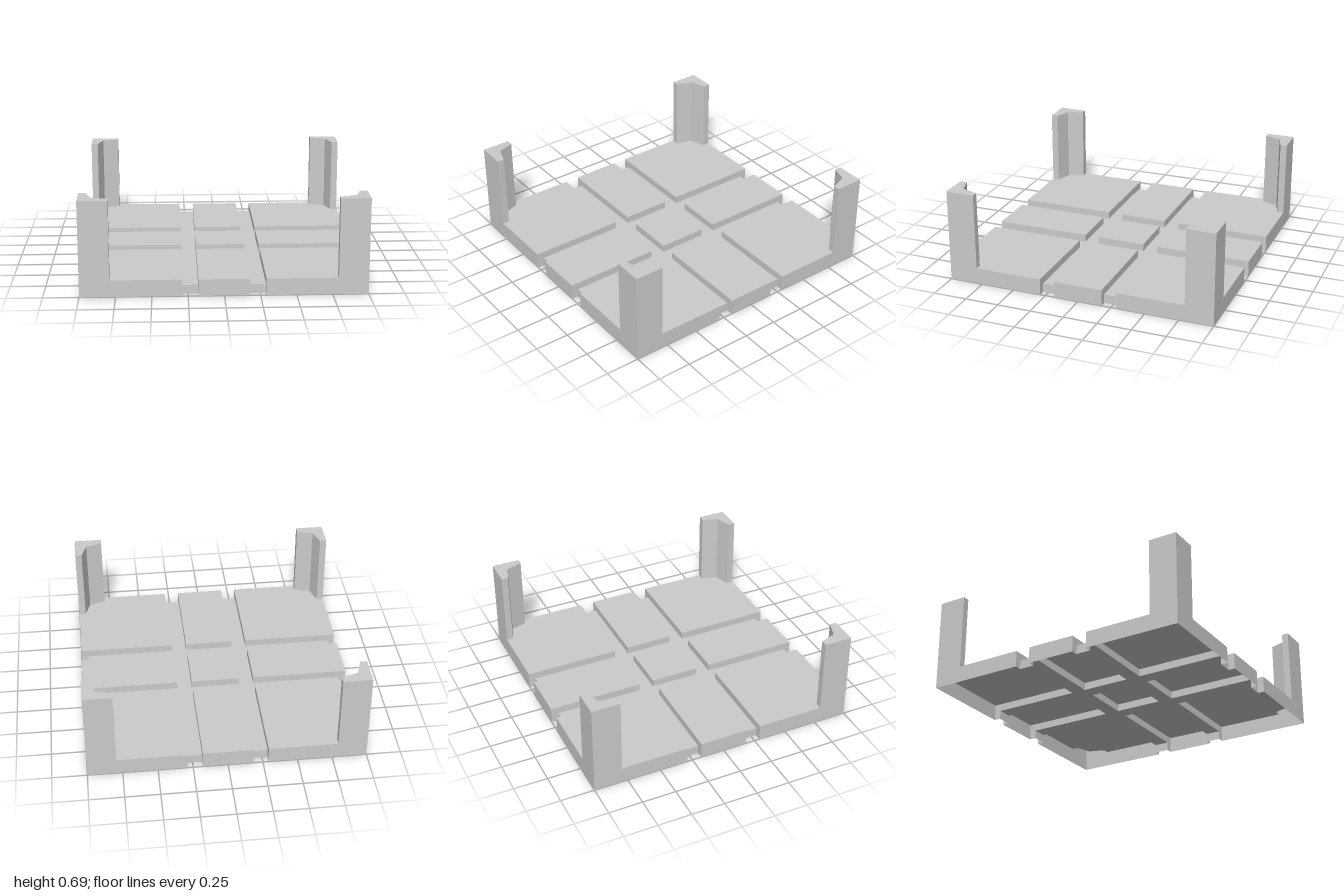
import * as THREE from 'three';
import { mergeGeometries } from 'three/addons/utils/BufferGeometryUtils.js';

const material = new THREE.MeshStandardMaterial({
  color: 0xcccccc, flatShading: true, side: THREE.DoubleSide,
});

// Plan distances from the centre, and heights
const A = 0.18, B = 0.29, E = 0.95, R = 1;      // groove sides, groove end, rim
const FLOOR = 0.065, TOP = 0.12, POST = 0.685;

// Flat plate facing up, outlined by [x, z] points
function plate(points, y) {
  const shape = new THREE.Shape(points.map(([x, z]) => new THREE.Vector2(x, -z)));
  return new THREE.ShapeGeometry(shape).rotateX(-Math.PI / 2).translate(0, y, 0);
}

const rect = (x0, x1, z0, z1) => [[x0, z1], [x1, z1], [x1, z0], [x0, z0]];

// Upright walls along an [x, z] path, counter-clockwise from above
function wall(path, y0, y1) {
  const panels = [];
  for (let i = 0; i + 1 < path.length; i++) {
    const [ax, az] = path[i], [bx, bz] = path[i + 1];
    panels.push(new THREE.PlaneGeometry(Math.hypot(bx - ax, bz - az), y1 - y0)
      .rotateY(Math.atan2(az - bz, bx - ax))
      .translate((ax + bx) / 2, (y0 + y1) / 2, (az + bz) / 2));
  }
  return mergeGeometries(panels);
}

function part(name, geometries) {
  const mesh = new THREE.Mesh(mergeGeometries(geometries), material);
  mesh.name = name;
  return mesh;
}

export function createModel() {
  const model = new THREE.Group();
  model.name = 'corneredTray';

  // Inner side of a post, from its right foot to its left foot
  const postInner = [[R, 0.79], [E, 0.79], [0.91, 0.91], [0.79, E], [0.79, R]];

  // Large corner tile, open below and into the post
  const cornerTile = [
    plate([[B, B], [R, B], ...postInner, [B, R]], TOP),
    wall([[B, E], [B, R], [R, R], [R, B], [E, B]], 0, TOP),
    wall([[E, B], [B, B], [B, E]], FLOOR, TOP),
  ];

  // Hollow post rising from the corner
  const post = [
    plate([...postInner, [R, R]], POST),
    wall([[0.79, R], [R, R], [R, 0.79]], TOP, POST),
    wall(postInner, TOP, POST),
  ];

  // Narrow tile in the middle of a side
  const sideTile = [
    plate(rect(-A, A, B, R), TOP),
    wall([[-A, E], [-A, R], [A, R], [A, E]], 0, TOP),
    wall([[A, E], [A, B], [-A, B], [-A, E]], FLOOR, TOP),
  ];

  // Groove floors with their set-back end walls
  const groove = [
    plate(rect(A, B, -A, E), FLOOR),
    plate(rect(B, E, A, B), FLOOR),
    wall([[A, E], [B, E]], 0, FLOOR),
    wall([[E, B], [E, A]], 0, FLOOR),
  ];

  // Four identical quarters
  for (let i = 0; i < 4; i++) {
    const quarter = new THREE.Group();
    quarter.name = `quarter${i + 1}`;
    quarter.add(part('cornerTile', cornerTile), part('cornerPost', post),
      part('sideTile', sideTile), part('groove', groove));
    quarter.rotation.y = i * Math.PI / 2;
    model.add(quarter);
  }

  // Centre tile
  const square = rect(-A, A, -A, A);
  model.add(part('centreTile', [
    plate(square, TOP),
    wall([...square, square[0]], FLOOR, TOP),
  ]));

  return model;
}
